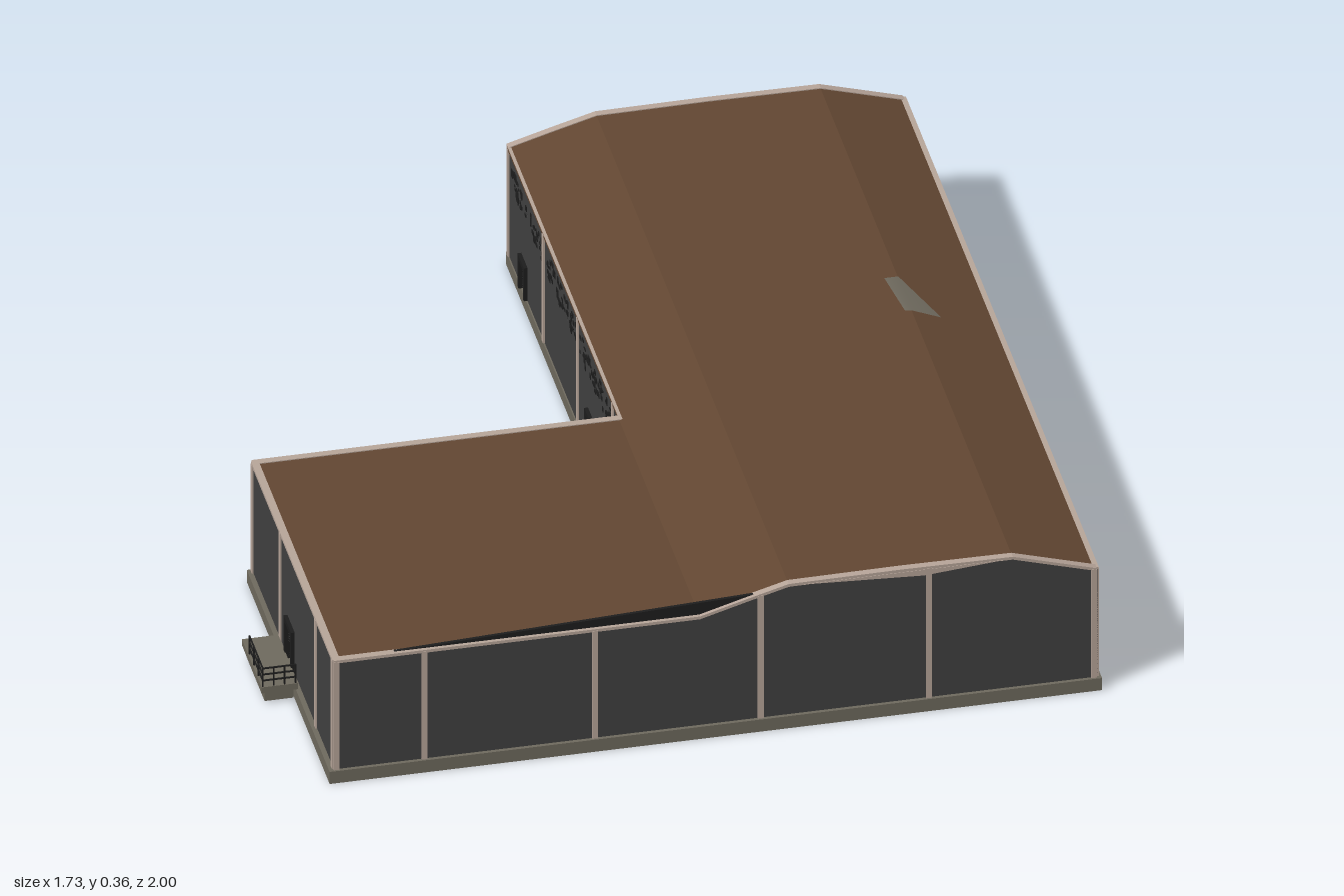
import * as THREE from 'three';
import { mergeGeometries } from 'three/addons/utils/BufferGeometryUtils.js';

const mat = (name, color, side = THREE.FrontSide) => {
  const m = new THREE.MeshStandardMaterial({ color, side });
  m.name = name;
  return m;
};

export function createModel() {
  const M = {
    wall: mat('charcoal wall', 0x404040),
    roof: mat('rust brown roof', 0x634732, THREE.DoubleSide),
    concrete: mat('concrete', 0x6f6a5e, THREE.DoubleSide),
    trim: mat('pale trim', 0xb8a69a),
    dark: mat('black metal', 0x1d1d1d, THREE.DoubleSide),
  };
  const model = new THREE.Group();
  model.name = 'warehouse';

  const add = (parent, name, geo, m) => {
    const mesh = new THREE.Mesh(geo, m);
    mesh.name = name;
    parent.add(mesh);
    return mesh;
  };
  // box given by its limits
  const boxGeo = (x0, x1, y0, y1, z0, z1) =>
    new THREE.BoxGeometry(x1 - x0, y1 - y0, z1 - z0)
      .translate((x0 + x1) / 2, (y0 + y1) / 2, (z0 + z1) / 2);
  const shapeOf = (pts) => new THREE.Shape(pts.map((p) => new THREE.Vector2(p[0], p[1])));
  const prism = (shape, z0, z1) =>
    new THREE.ExtrudeGeometry(shape, { depth: z1 - z0, bevelEnabled: false }).translate(0, 0, z0);
  // strip of even thickness under a roof profile
  const band = (pts, t, z0, z1) =>
    prism(shapeOf([...pts.map(([x, y]) => [x, y - t]), ...[...pts].reverse()]), z0, z1);

  let seed = 7;
  const rnd = () => (seed = (seed * 16807) % 2147483647) / 2147483647;

  const BASE = 0.03, EAVE = 0.3;
  const hall = [[0, EAVE], [0.1, 0.329], [0.19, 0.354], [0.43, 0.356], [0.67, 0.354], [0.85, EAVE]];
  const wing = [[-0.785, EAVE], [0, EAVE]];

  // L-shaped foundation, also the floor
  const foot = shapeOf([[-0.795, -0.995], [0.86, -0.995], [0.86, 0.875], [0, 0.875], [0, -0.2], [-0.795, -0.2]]);
  add(model, 'foundation', prism(foot, 0, BASE).rotateX(-Math.PI / 2), M.concrete);

  // roofs
  add(model, 'hallRoof', band(hall, 0.006, -0.862, 0.982), M.roof);
  add(model, 'wingRoof', band(wing, 0.006, 0.207, 0.982), M.roof);

  // bent hole patch in the hall roof
  const patch = new THREE.BufferGeometry();
  const P = (x, z) => [x, (x > 0.67 ? 0.354 - (x - 0.67) * 0.3 : 0.355) + 0.003, z];
  const patchPts = [P(0.64, -0.11), P(0.655, 0.02), P(0.67, 0.024), P(0.67, -0.11), P(0.73, 0.035)];
  patch.setAttribute('position', new THREE.Float32BufferAttribute(patchPts.flat(), 3));
  patch.setIndex([0, 1, 2, 0, 2, 3, 3, 2, 4]);
  patch.computeVertexNormals();
  add(model, 'roofBreak', patch, M.concrete);

  // A wall face: local x runs along the wall; alongZ faces have local x = world z
  const rectPath = ([a, b, y0, y1]) =>
    new THREE.Path([[a, y0], [b, y0], [b, y1], [a, y1]].map((p) => new THREE.Vector2(p[0], p[1])));
  function face({ name, alongZ = false, at, from, to, top, posts, doors = [], bands = [], holes = [] }) {
    const g = new THREE.Group();
    g.name = name;
    if (alongZ) { g.rotation.y = -Math.PI / 2; g.position.x = at; } else g.position.z = at;
    const crest = top || [[from, EAVE], [to, EAVE]];
    // doorways are notched into the outline from below
    const outline = [[from, BASE]];
    for (const [a, b, h] of [...doors].sort((p, q) => p[0] - q[0]))
      outline.push([a, BASE], [a, h], [b, h], [b, BASE]);
    outline.push([to, BASE], ...[...crest].reverse());
    const s = shapeOf(outline);
    holes.forEach((h) => s.holes.push(rectPath(h)));
    add(g, 'wallPanel', prism(s, -0.005, 0.005), M.wall);
    // trims
    add(g, 'eaveTrim', band(crest.map(([x, y]) => [x, y + 0.002]), 0.007, -0.008, 0.008), M.trim);
    const height = (u) => {
      for (let i = 1; i < crest.length; i++) {
        const [a, ya] = crest[i - 1], [b, yb] = crest[i];
        if (u <= b) return ya + (yb - ya) * Math.max(0, (u - a) / (b - a));
      }
      return EAVE;
    };
    add(g, 'posts', mergeGeometries(posts.map((u) =>
      boxGeo(u - 0.006, u + 0.006, BASE, height(u) - 0.002, -0.009, 0.009))), M.trim);
    // door surrounds
    if (doors.length) add(g, 'doorFrames', mergeGeometries(doors.flatMap(([a, b, h]) => [
      boxGeo(a - 0.01, a, BASE, h + 0.012, -0.013, 0.013),
      boxGeo(b, b + 0.01, BASE, h + 0.012, -0.013, 0.013),
      boxGeo(a, b, h, h + 0.012, -0.013, 0.013),
    ])), M.dark);
    // broken panes of the high windows
    const panes = [];
    for (const [a, b] of bands) {
      for (let i = 0; i < (b - a) * 150; i++) {
        const u = a + 0.015 + rnd() * (b - a - 0.03), y = 0.215 + rnd() * 0.06;
        const w = 0.003 + rnd() * 0.006, h = 0.002 + rnd() * 0.004;
        panes.push(boxGeo(u - w, u + w, y - h, y + h, -0.0065, 0.0065));
      }
    }
    if (panes.length) add(g, 'brokenPanes', mergeGeometries(panes), M.dark);
    model.add(g);
    return g;
  }

  const zBays = [[-0.85, -0.52], [-0.52, -0.19], [-0.19, 0.145], [0.145, 0.48]];
  // gaps that line up across the hall
  const gaps = [-0.8, -0.69, -0.6, -0.42, -0.3, -0.24, -0.1, 0.02, 0.09].map((z, i) => {
    const y = 0.225 + (i % 4) * 0.012;
    return [z, z + 0.008, y, y + 0.008];
  });

  face({ name: 'frontWall', at: 0.982, from: -0.785, to: 0.85, top: [wing[0], ...hall],
    posts: [-0.779, -0.59, -0.225, 0.13, 0.49, 0.844] });
  face({ name: 'rightSideWall', alongZ: true, at: 0.847, from: -0.865, to: 0.985, holes: gaps, bands: zBays,
    posts: [-0.859, -0.52, -0.19, 0.145, 0.48, 0.82, 0.979] });
  face({ name: 'hallBackWall', at: -0.862, from: 0.005, to: 0.85, top: hall, bands: [[0.02, 0.43], [0.43, 0.84]],
    posts: [0.011, 0.844], doors: [[0.44, 0.77, 0.16], [0.05, 0.1, 0.12]] });
  face({ name: 'hallInnerWall', alongZ: true, at: 0.008, from: -0.865, to: 0.207, holes: gaps,
    bands: zBays.slice(0, 3), posts: [-0.859, -0.52, -0.19, 0.145],
    doors: [[-0.73, -0.69, 0.1], [-0.09, -0.04, 0.12]] });
  face({ name: 'wingBackWall', at: 0.207, from: -0.785, to: 0.01, posts: [-0.779, -0.56, -0.33, -0.003],
    doors: [[-0.755, -0.6, 0.17], [-0.52, -0.37, 0.17], [-0.29, -0.14, 0.17]] });
  face({ name: 'wingSideWall', alongZ: true, at: -0.779, from: 0.205, to: 0.985,
    posts: [0.211, 0.48, 0.82, 0.979], doors: [[0.55, 0.6, 0.12]] });

  // dark flashing rising between wing roof and gable, and pale sagging gable strip
  add(model, 'gableFlashing', prism(shapeOf([[-0.7, 0.3], [0, 0.3], [0.13, 0.336]]), 0.975, 0.982), M.dark);
  for (const [z, n] of [[0.987, 'frontGableStrip'], [-0.871, 'backGableStrip']])
    add(model, n, prism(shapeOf([[0.22, 0.351], [0.48, 0.337], [0.65, 0.351]]), z, z + 0.004), M.trim);

  // loading platforms with step, under-shadow panel and railing
  function platform(name, x0, x1, z0, z1, rails) {
    const g = new THREE.Group();
    g.name = name;
    add(g, 'deck', boxGeo(x0, x1, 0.03, 0.045, z0, z1), M.concrete);
    const i = 0.008;
    add(g, 'deckBase', boxGeo(x0 + i, x1 - i, 0.005, 0.03, z0 + i, z1 - i), M.concrete);
    const bars = [];
    const r = 0.0015;
    for (const [ax, az, bx, bz] of rails) {
      for (const y of [0.06, 0.075, 0.09])
        bars.push(boxGeo(Math.min(ax, bx) - r, Math.max(ax, bx) + r, y - r, y + r,
          Math.min(az, bz) - r, Math.max(az, bz) + r));
      for (let k = 0; k <= 3; k++) {
        const x = ax + (bx - ax) * k / 3, z = az + (bz - az) * k / 3;
        bars.push(boxGeo(x - r, x + r, 0.045, 0.09, z - r, z + r));
      }
    }
    add(g, 'railing', mergeGeometries(bars), M.dark);
    model.add(g);
  }
  platform('backPlatform', 0.04, 0.31, -1, -0.87,
    [[0.043, -0.997, 0.307, -0.997], [0.043, -0.997, 0.043, -0.875]]);
  platform('innerPlatform', -0.07, 0.002, -0.16, 0.03,
    [[-0.067, -0.1, -0.067, 0.027], [-0.067, 0.027, -0.003, 0.027]]);
  platform('wingPlatform', -0.868, -0.79, 0.48, 0.67,
    [[-0.865, 0.54, -0.865, 0.667], [-0.865, 0.667, -0.795, 0.667]]);

  // kerbs either side of the wide back door
  add(model, 'backKerbs', mergeGeometries([
    boxGeo(0.31, 0.44, 0, 0.045, -0.882, -0.87), boxGeo(0.78, 0.86, 0, 0.045, -0.882, -0.87)]), M.concrete);

  return model;
}
